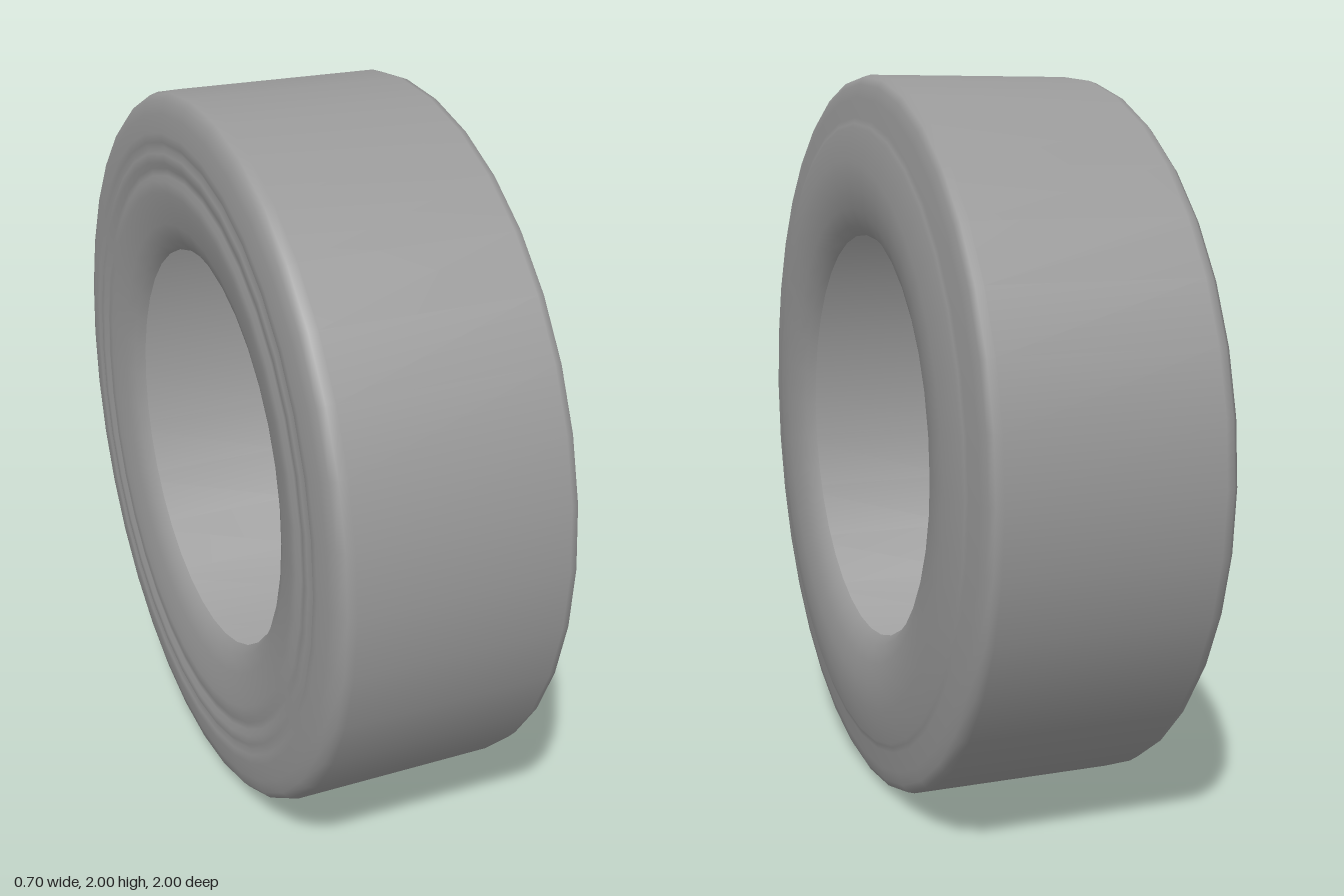
import * as THREE from 'three';

export function createModel() {
  const group = new THREE.Group();
  group.name = 'tyre';

  // Hollow shell, open towards the axle
  const material = new THREE.MeshStandardMaterial({ color: 0x999999, side: THREE.DoubleSide });

  // Open cross-section from bead to bead as [radius, position along the axle]
  const profile = [
    // bead curling in to the hole
    [0.565, -0.295], [0.59, -0.318], [0.64, -0.335], [0.70, -0.343],
    // ribbed sidewall
    [0.73, -0.349], [0.76, -0.349], [0.775, -0.342],
    [0.795, -0.342], [0.81, -0.35], [0.835, -0.35], [0.85, -0.343],
    [0.865, -0.35], [0.89, -0.35],
    // shoulder, tread, shoulder
    [0.94, -0.343], [0.975, -0.335], [0.993, -0.318], [1.0, -0.295],
    [1.0, 0.28], [0.994, 0.3], [0.975, 0.311], [0.94, 0.318],
    // stepped bulging sidewall
    [0.885, 0.325], [0.87, 0.328], [0.86, 0.333], [0.77, 0.349],
    [0.70, 0.345], [0.64, 0.336], [0.59, 0.318], [0.565, 0.295],
  ].map(([r, a]) => new THREE.Vector2(r, a));

  const geometry = new THREE.LatheGeometry(profile, 36);
  geometry.rotateZ(-Math.PI / 2); // axle along x
  geometry.translate(0, 1, 0);

  const tyre = new THREE.Mesh(geometry, material);
  tyre.name = 'tyreShell';
  group.add(tyre);
  return group;
}
